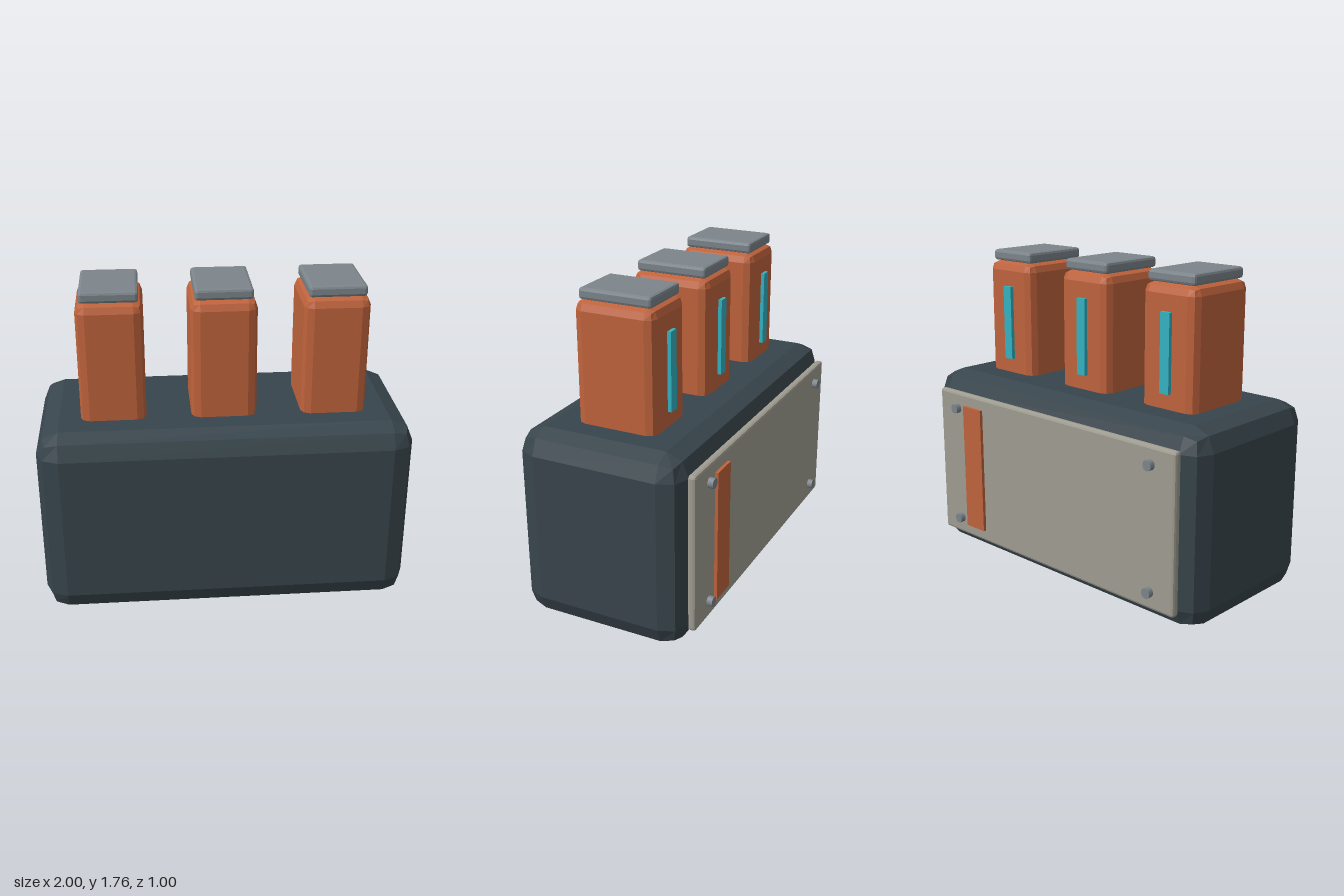
import * as THREE from 'three';
import { RoundedBoxGeometry } from 'three/addons/geometries/RoundedBoxGeometry.js';

const paint = (name, color) => {
  const m = new THREE.MeshStandardMaterial({ color });
  m.name = name;
  return m;
};

export function createModel() {
  const model = new THREE.Group();
  const slate = paint('dark slate', 0x38454c);
  const rust = paint('rust orange', 0xbf633c);
  const steel = paint('steel grey', 0x7c858b);
  const plate = paint('warm grey', 0x9f9c91);
  const teal = paint('teal', 0x34b2c1);

  const add = (name, geometry, material, x, y, z, parent = model) => {
    const mesh = new THREE.Mesh(geometry, material);
    mesh.name = name;
    mesh.position.set(x, y, z);
    parent.add(mesh);
    return mesh;
  };

  // Box with a two-facet bevel on every edge
  const bevelBox = (w, h, d, r) => {
    const g = new RoundedBoxGeometry(w, h, d, 1, r);
    g.computeVertexNormals();
    return g;
  };

  // Main housing
  add('body', bevelBox(2, 1.06, 0.93, 0.12), slate, 0, 0.53, 0.035);

  // Three capped cells, each with an indicator strip on its back
  for (const x of [-0.59, 0, 0.59]) {
    const cell = new THREE.Group();
    cell.name = 'cell';
    cell.position.x = x;
    model.add(cell);
    add('cellBody', bevelBox(0.35, 0.8, 0.445, 0.05), rust, 0, 1.302, 0.038, cell);
    add('cellCap', bevelBox(0.305, 0.06, 0.4, 0.015), steel, 0, 1.732, 0.036, cell);
    add('indicatorStrip', new THREE.BoxGeometry(0.06, 0.42, 0.025), teal, 0, 1.354, -0.1925, cell);
  }

  // Back panel with its coloured stripe
  add('backPanel', bevelBox(1.795, 0.87, 0.045, 0.015), plate, 0, 0.53, -0.45);
  add('panelStripe', new THREE.BoxGeometry(0.15, 0.73, 0.03), rust, 0.6, 0.53, -0.475);

  // Panel bolts
  const boltGeometry = new THREE.CylinderGeometry(0.028, 0.028, 0.05, 10).rotateX(Math.PI / 2);
  for (const x of [-0.74, 0.74])
    for (const y of [0.193, 0.87]) add('bolt', boltGeometry, steel, x, y, -0.478);

  return model;
}
